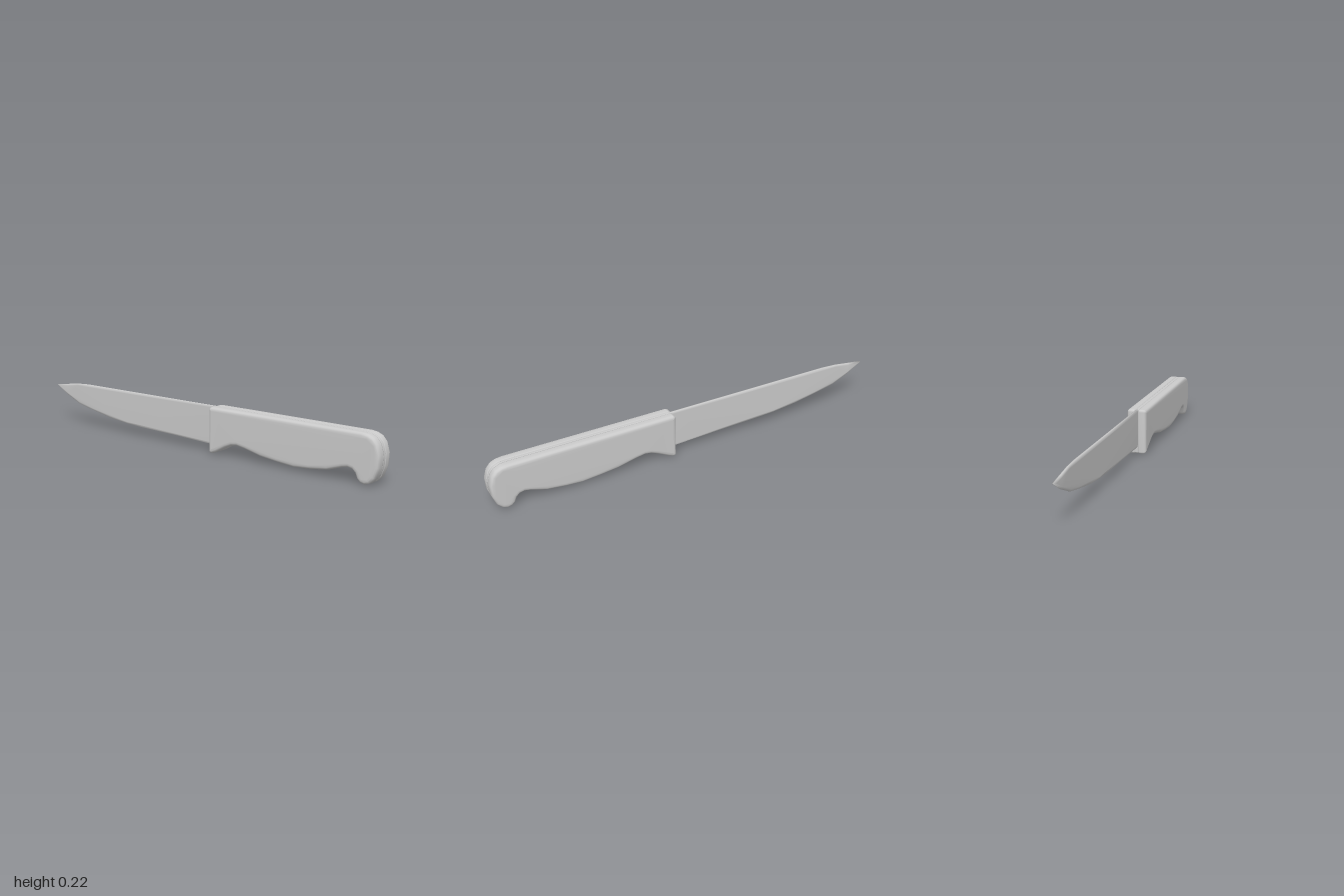
import * as THREE from 'three';

const material = new THREE.MeshStandardMaterial({ color: 0xcccccc });

// Outlines in the xy plane, counter-clockwise
const handleOutline = [
  [0.1, 0.012], [0.106, 0.004], [0.12, 0.004], [0.145, 0.015], [0.2, 0.044], [0.235, 0.058], [0.265, 0.062],
  [0.31, 0.055], [0.4, 0.035], [0.49, 0.025], [0.58, 0.018], [0.66, 0.024], [0.75, 0.036], [0.825, 0.06],
  [0.85, 0.065], [0.87, 0.061], [0.885, 0.048], [0.895, 0.025], [0.91, 0.011], [0.932, 0.006], [0.955, 0.014],
  [0.978, 0.038], [0.995, 0.085], [0.998, 0.14], [0.985, 0.183], [0.965, 0.206], [0.94, 0.217], [0.91, 0.221],
  [0.7, 0.221], [0.4, 0.221], [0.115, 0.221], [0.104, 0.218], [0.1, 0.208],
];
const bladeOutline = [
  [-1, 0.195], [-0.92, 0.148], [-0.83, 0.11], [-0.72, 0.088], [-0.6, 0.067], [-0.47, 0.053], [-0.38, 0.049],
  [-0.15, 0.043], [0.13, 0.034], [0.13, 0.22], [-0.3, 0.22], [-0.76, 0.22], [-0.84, 0.216], [-0.92, 0.205],
];

// Shrinks an outline along its mitred normals
function inset(points, d) {
  const n = points.length;
  const edgeNormal = (a, b) => new THREE.Vector2(a[1] - b[1], b[0] - a[0]).normalize();
  return points.map((p, i) => {
    const n1 = edgeNormal(points[(i + n - 1) % n], p);
    const n2 = edgeNormal(p, points[(i + 1) % n]);
    const k = d / Math.max(1 + n1.dot(n2), 0.3);
    return new THREE.Vector2(p[0] + (n1.x + n2.x) * k, p[1] + (n1.y + n2.y) * k);
  });
}

// Lofts an outline through [z, inset] rings (z rising) and caps both ends
function loft(name, outline, rings) {
  const n = outline.length;
  const positions = [];
  const index = [];
  const loops = rings.map(([z, d]) => {
    const loop = inset(outline, d);
    loop.forEach((p) => positions.push(p.x, p.y, z));
    return loop;
  });
  for (let r = 0; r < rings.length - 1; r++) {
    for (let i = 0; i < n; i++) {
      const a = r * n + i;
      const b = r * n + ((i + 1) % n);
      index.push(a, b, b + n, a, b + n, a + n);
    }
  }
  const last = (rings.length - 1) * n;
  for (const [a, b, c] of THREE.ShapeUtils.triangulateShape(loops[0], [])) index.push(a, c, b);
  for (const [a, b, c] of THREE.ShapeUtils.triangulateShape(loops[rings.length - 1], [])) {
    index.push(last + a, last + b, last + c);
  }
  const geometry = new THREE.BufferGeometry();
  geometry.setAttribute('position', new THREE.Float32BufferAttribute(positions, 3));
  geometry.setIndex(index);
  geometry.computeVertexNormals();
  const mesh = new THREE.Mesh(geometry, material);
  mesh.name = name;
  return mesh;
}

export function createModel() {
  const group = new THREE.Group();
  group.name = 'knife';

  // Thin blade with softened edges
  group.add(loft('blade', bladeOutline, [[-0.007, 0.01], [-0.005, 0.001], [0, 0], [0.005, 0.001], [0.007, 0.01]]));

  // Core plate running through the handle
  group.add(loft('tang', handleOutline, [[-0.009, 0.003], [-0.006, 0.001], [0.006, 0.001], [0.009, 0.003]]));

  // Two rounded grips, mirrored either side of the core plate
  const profile = [[0.007, 0.005], [0.009, 0.001], [0.014, 0], [0.028, 0], [0.038, 0.001], [0.044, 0.005],
    [0.0465, 0.011], [0.0475, 0.019]];
  group.add(loft('leftGrip', handleOutline, profile));
  group.add(loft('rightGrip', handleOutline, profile.map(([z, d]) => [-z, d]).reverse()));

  // Seat the lowest point on the ground
  const box = new THREE.Box3().setFromObject(group);
  group.position.y = -box.min.y;
  return group;
}
